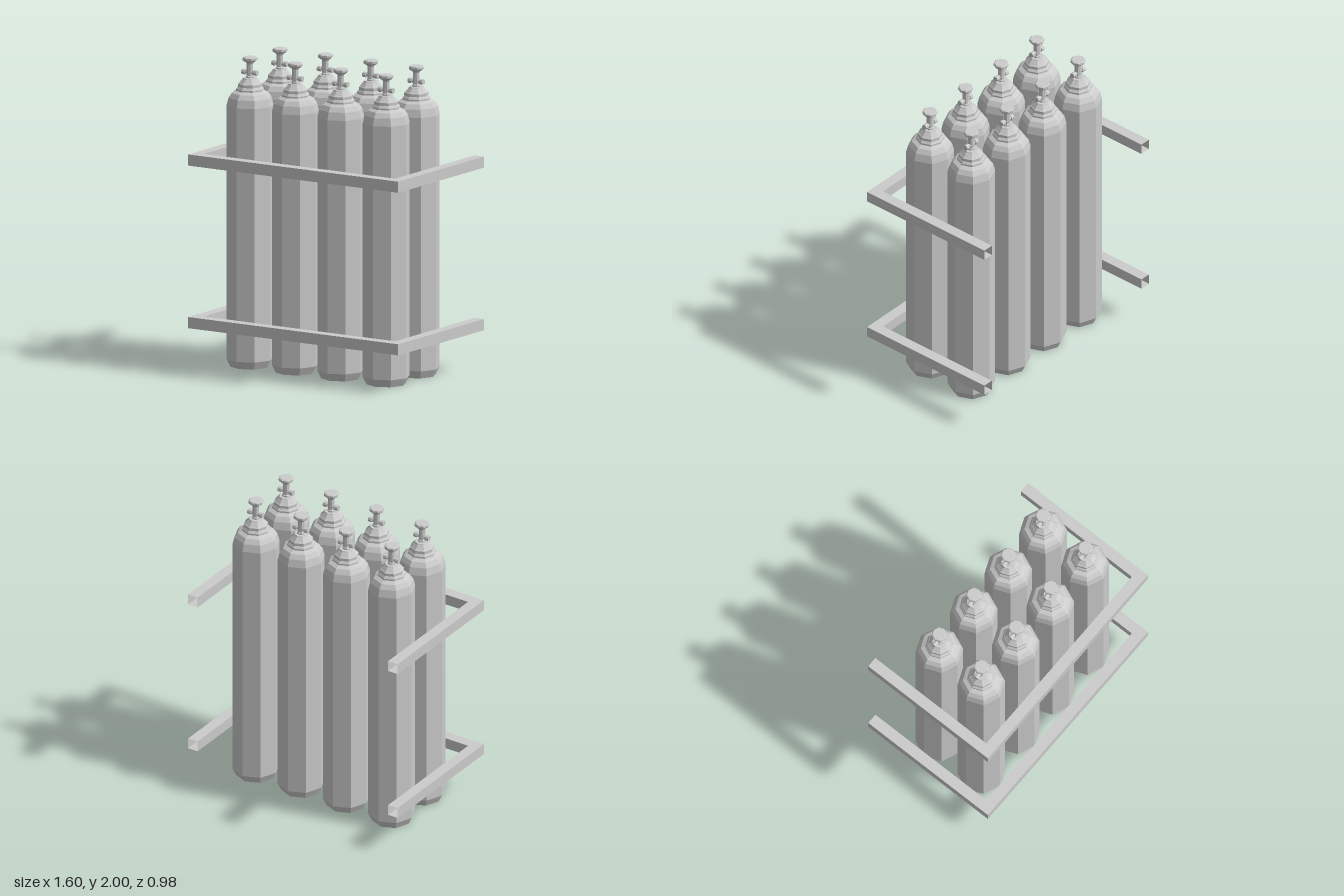
import * as THREE from 'three';

const grey = new THREE.MeshStandardMaterial({ color: 0xcccccc, flatShading: true });
const greyOpen = new THREE.MeshStandardMaterial({ color: 0xcccccc, flatShading: true, side: THREE.DoubleSide });

const lathe = (profile, sides) =>
  new THREE.LatheGeometry(profile.map(([r, y]) => new THREE.Vector2(r, y)), sides);

function part(name, geometry, material = grey) {
  const mesh = new THREE.Mesh(geometry, material);
  mesh.name = name;
  return mesh;
}

// Octagonal bottle with chamfered foot and rounded shoulder
const bodyGeometry = lathe([
  [0, 0], [0.127, 0], [0.152, 0.05], [0.152, 1.69], [0.139, 1.74], [0.118, 1.77], [0.088, 1.785], [0, 1.785],
], 8);

// Stepped collar around the neck
const collarGeometry = lathe([
  [0.09, 1.78], [0.09, 1.795], [0.078, 1.81], [0.078, 1.828], [0.07, 1.835],
  [0.05, 1.858], [0.045, 1.866], [0, 1.866],
], 8);

// Valve stem and handwheel
const stemGeometry = lathe([
  [0.026, 1.86], [0.026, 1.875], [0.021, 1.88], [0.021, 1.955], [0.029, 1.972], [0, 1.972],
], 8);
const wheelGeometry = lathe([
  [0, 1.968], [0.032, 1.968], [0.046, 1.978], [0.048, 1.983], [0.048, 1.995], [0.042, 2], [0, 2],
], 8);

// Side outlets: thin pipe with a wider cap at each end
const outletGeometry = new THREE.CylinderGeometry(0.012, 0.012, 0.09, 8).rotateZ(Math.PI / 2);
const capGeometry = new THREE.CylinderGeometry(0.018, 0.018, 0.026, 8).rotateZ(Math.PI / 2);

function gasBottle() {
  const bottle = new THREE.Group();
  bottle.name = 'gasBottle';
  const outlet = part('outletPipe', outletGeometry);
  outlet.position.y = 1.9;
  bottle.add(
    part('bottleBody', bodyGeometry), part('neckCollar', collarGeometry),
    part('valveStem', stemGeometry), part('handwheel', wheelGeometry), outlet,
  );
  for (const side of [-1, 1]) {
    const cap = part('outletCap', capGeometry);
    cap.position.set(side * 0.043, 1.9, 0);
    bottle.add(cap);
  }
  return bottle;
}

// Hollow square tube bent in a U with mitred corners and open back ends
function railGeometry(halfWidth, halfDepth, size) {
  const h = size / 2;
  const x = halfWidth - h;
  const z = halfDepth - h;
  // centre x, centre z, outward x, outward z
  const stations = [[-x, -halfDepth, -1, 0], [-x, z, -1, 1], [x, z, 1, 1], [x, -halfDepth, 1, 0]];
  const corners = [[1, -1], [1, 1], [-1, 1], [-1, -1]];
  const positions = [];
  const index = [];
  for (const [cx, cz, ox, oz] of stations) {
    for (const [out, up] of corners) positions.push(cx + ox * out * h, up * h, cz + oz * out * h);
  }
  for (let s = 0; s < 3; s++) {
    for (let i = 0; i < 4; i++) {
      const j = (i + 1) % 4;
      const a = s * 4 + i, b = s * 4 + j, c = a + 4, d = b + 4;
      index.push(a, c, b, b, c, d);
    }
  }
  const geometry = new THREE.BufferGeometry();
  geometry.setAttribute('position', new THREE.Float32BufferAttribute(positions, 3));
  geometry.setIndex(index);
  const flat = geometry.toNonIndexed();
  flat.computeVertexNormals();
  return flat;
}

export function createModel() {
  const model = new THREE.Group();
  model.name = 'bottleRack';

  // Two rows of four bottles
  for (const z of [-0.139, 0.206]) {
    for (let i = 0; i < 4; i++) {
      const bottle = gasBottle();
      bottle.position.set((i - 1.5) * 0.346, 0, z);
      model.add(bottle);
    }
  }

  // Lower and upper guard rails
  const rail = railGeometry(0.8, 0.491, 0.072);
  for (const [name, y] of [['lowerRail', 0.296], ['upperRail', 1.348]]) {
    const mesh = part(name, rail, greyOpen);
    mesh.position.y = y;
    model.add(mesh);
  }
  return model;
}
